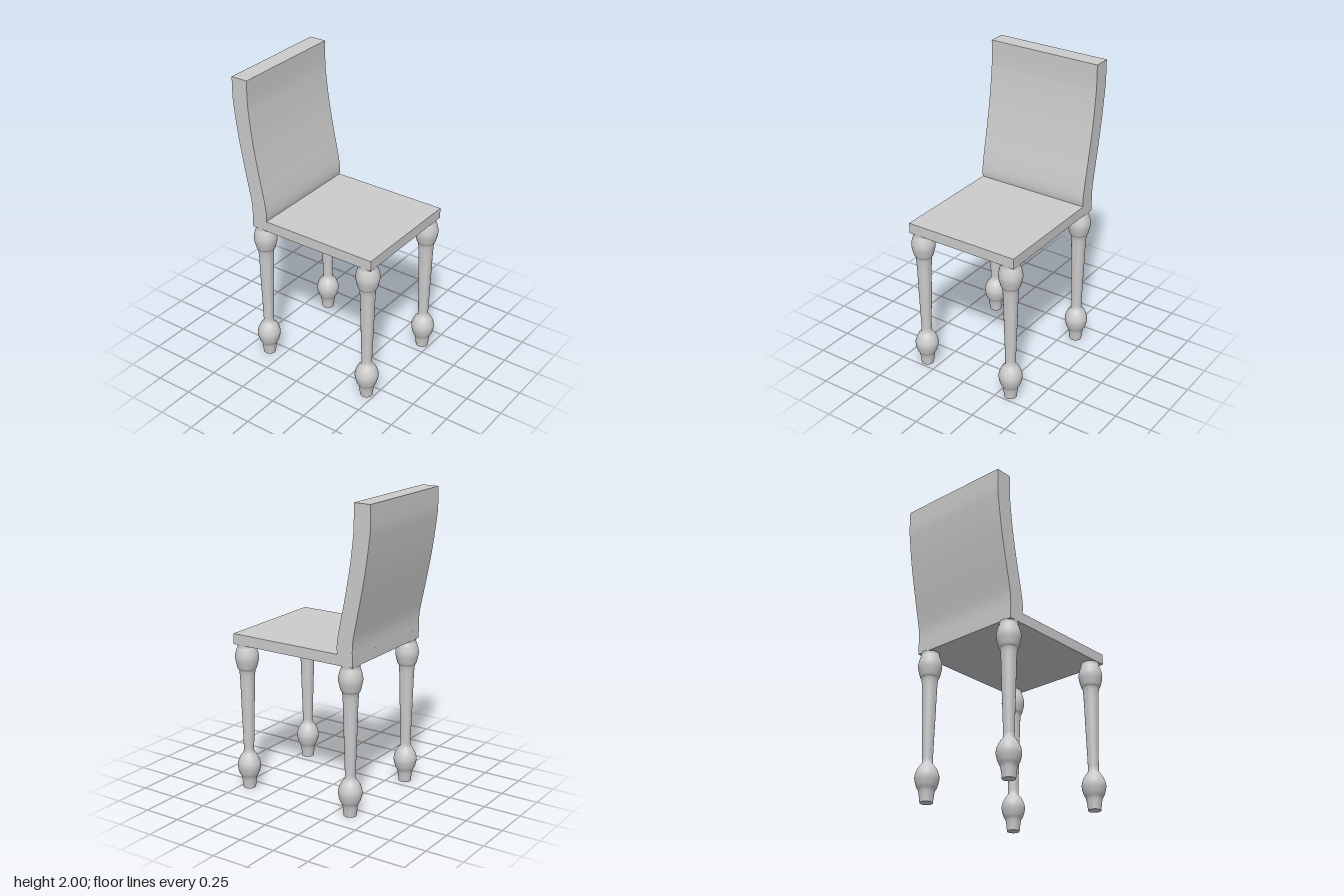
import * as THREE from 'three';
import { toCreasedNormals } from 'three/addons/utils/BufferGeometryUtils.js';

const WIDTH = 0.79;
const points = (list) => list.map(([a, b]) => new THREE.Vector2(a, b));

// Turned leg: radius and height, with a bulb near each end
function legGeometry() {
  const bulbs = new THREE.SplineCurve(points([
    [0.041, 0], [0.05, 0.07], [0.066, 0.105], [0.077, 0.16], [0.063, 0.21], [0.037, 0.25],
    [0.034, 0.28], [0.042, 0.54], [0.05, 0.79], [0.063, 0.835], [0.077, 0.9],
    [0.069, 0.95], [0.058, 0.98], [0.06, 1.0],
  ]));
  const profile = [new THREE.Vector2(0, 0), ...bulbs.getPoints(52)];
  return toCreasedNormals(new THREE.LatheGeometry(profile, 32), 0.8);
}

// Curved backrest: side outline in (z, y), extruded across the width
function backGeometry() {
  const front = new THREE.SplineCurve(points([
    [-0.297, 1.06], [-0.292, 1.11], [-0.304, 1.2], [-0.345, 1.4],
    [-0.381, 1.6], [-0.404, 1.78], [-0.41, 1.87], [-0.41, 2],
  ])).getPoints(40);
  const rear = new THREE.SplineCurve(points([
    [-0.525, 2], [-0.525, 1.87], [-0.517, 1.78], [-0.492, 1.6],
    [-0.455, 1.4], [-0.414, 1.2], [-0.405, 1.12], [-0.405, 1.06],
  ])).getPoints(40);
  const geometry = new THREE.ExtrudeGeometry(new THREE.Shape([...front, ...rear]), {
    depth: WIDTH, bevelEnabled: false,
  });
  geometry.rotateY(-Math.PI / 2).translate(WIDTH / 2, 0, 0);
  return toCreasedNormals(geometry, 0.6);
}

export function createModel() {
  const group = new THREE.Group();
  const material = new THREE.MeshStandardMaterial({ color: 0xcccccc });
  const add = (name, geometry, x = 0, y = 0, z = 0) => {
    const mesh = new THREE.Mesh(geometry, material);
    mesh.name = name;
    mesh.position.set(x, y, z);
    group.add(mesh);
  };

  add('seat', new THREE.BoxGeometry(WIDTH, 0.07, 0.91), 0, 1.03, 0.05);
  add('backrest', backGeometry());

  // Four identical legs
  const leg = legGeometry();
  for (const [side, x] of [['Left', 0.335], ['Right', -0.335]]) {
    add('front' + side + 'Leg', leg, x, 0, 0.445);
    add('back' + side + 'Leg', leg, x, 0, -0.355);
  }
  return group;
}
